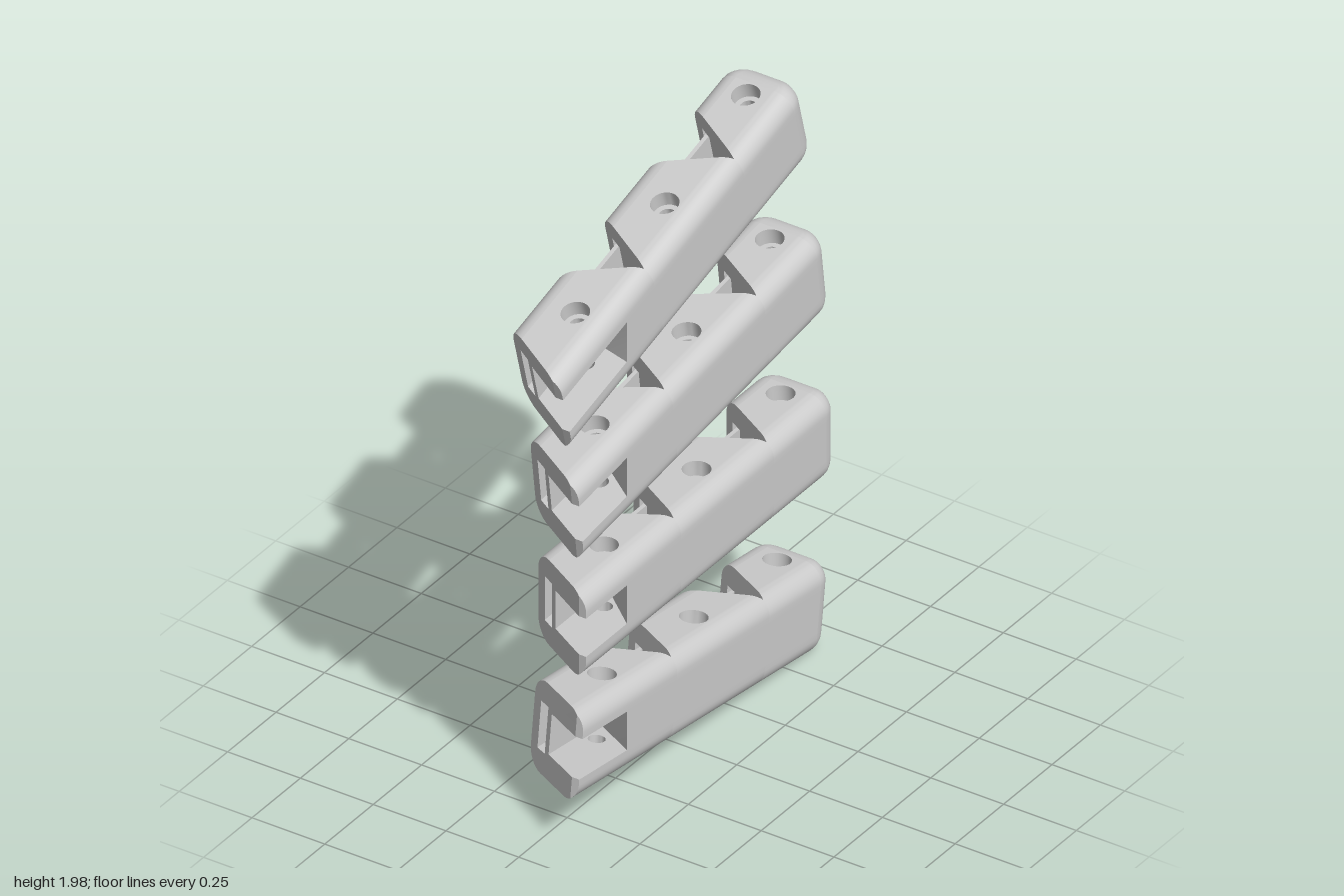
import * as THREE from 'three';
import { mergeGeometries, toCreasedNormals } from 'three/addons/utils/BufferGeometryUtils.js';

const W = 0.125, H = 0.145, R = 0.06;      // half width, half height, edge radius
const HINGE = 0.1, SLOPE = 0.577;          // where the notches end, and their slant
const WIN = 0.065, WIN_X = -0.03;          // half height and inner wall of the knuckle pocket
const material = new THREE.MeshStandardMaterial({ color: 0xcccccc, side: THREE.DoubleSide });

const arc = (cx, cy, a0, a1, n = 5) => Array.from({ length: n + 1 }, (_, i) => {
  const a = THREE.MathUtils.degToRad(a0 + (a1 - a0) * i / n);
  return [cx + R * Math.cos(a), cy + R * Math.sin(a)];
});
const mirrorY = pts => pts.map(([x, y]) => [x, -y]).reverse();

// Cross-section, clockwise seen from the front
const cornerIn = arc(W - R, H - R, 90, 54.3);
const cornerOut = arc(W - R, H - R, 54.3, 0);
const upperRight = [...cornerIn, ...cornerOut.slice(1), [W, WIN]];
const lowerRight = mirrorY(upperRight);
const left = [...arc(R - W, R - H, 270, 180, 8), ...arc(R - W, H - R, 180, 90, 8)];
const section = [...upperRight, ...lowerRight, ...left, upperRight[0]];
const rect = (x0, x1, h) => [[x0, h], [x1, h], [x1, -h], [x0, -h]];
const slot = rect(-0.09, -0.05, 0.075);

function flip(g) {
  const a = g.index.array;
  for (let i = 0; i < a.length; i += 3) [a[i], a[i + 1]] = [a[i + 1], a[i]];
  return g;
}

// Skin through rings of points
function grid(rings) {
  const n = rings[0].length, index = [];
  for (let k = 0; k < rings.length - 1; k++) {
    for (let i = 0; i < n - 1; i++) {
      const a = k * n + i, b = a + n;
      index.push(a, a + 1, b, a + 1, b + 1, b);
    }
  }
  const g = new THREE.BufferGeometry();
  g.setAttribute('position', new THREE.Float32BufferAttribute(rings.flat(2), 3));
  g.setIndex(index);
  return g;
}
const loft = (chain, f, g) => grid([f, g].map(fn => chain.map(([x, y]) => [x, y, fn(x, y)])));

const toShape = pts => new THREE.Shape(pts.map(p => new THREE.Vector2(...p)));

// End face lying on z = f(x, y)
function cap(pts, f, hole) {
  const s = toShape(pts);
  if (hole) s.holes.push(new THREE.Path(hole.map(p => new THREE.Vector2(...p))));
  const g = new THREE.ShapeGeometry(s), p = g.attributes.position;
  for (let i = 0; i < p.count; i++) p.setZ(i, f(p.getX(i), p.getY(i)));
  return g;
}

// Level face at height y, outlined in x and z, with a round hole
function plate(pts, y, hx, hz, r) {
  const s = toShape(pts.map(([x, z]) => [x, -z]));
  s.holes.push(new THREE.Path().absarc(hx, -hz, r, 0, Math.PI * 2));
  return new THREE.ShapeGeometry(s, 12).rotateX(-Math.PI / 2).translate(0, y, 0);
}

const bore = (x, z, r, y0, y1) =>
  flip(new THREE.CylinderGeometry(r, r, y1 - y0, 24, 1, true).translate(x, (y0 + y1) / 2, z));

function segment(name, { front, back, hx, hz, pocket, tip }) {
  const f = x => front - Math.max(0, HINGE - x) * SLOPE;
  const g = tip ? () => back : x => back + Math.max(0, HINGE - x) * SLOPE;
  const parts = [loft(upperRight, f, g), loft(lowerRight, f, g), loft(left, f, g)];

  // Right wall and slanted front face, opened by the pocket on the first segment
  parts.push(loft([[W, WIN], [W, -WIN]], pocket || f, g));
  const notch = pocket ? [[HINGE, WIN], [WIN_X, WIN], [WIN_X, -WIN], [HINGE, -WIN]] : [];
  parts.push(cap([...cornerIn, ...notch, ...mirrorY(cornerIn), ...left], f, slot));

  // Top and bottom faces with the pin hole
  const e = W - R, small = 0.026, big = 0.043, step = 0.095;
  const outline = [[-e, f(-e)], [e, f(e)], [e, g(e)], [-e, g(-e)]];
  parts.push(plate(outline, H, hx, hz, big), flip(plate(outline, -H, hx, hz, small)));
  parts.push(bore(hx, hz, big, step, H));
  parts.push(new THREE.RingGeometry(small, big, 24).rotateX(-Math.PI / 2).translate(hx, step, hz));

  if (pocket) {
    const upperLip = [...cornerOut, [W, WIN], [HINGE, WIN]];
    parts.push(cap(upperLip, f), cap(mirrorY(upperLip), f));
    parts.push(loft([[WIN_X, -WIN], [WIN_X, WIN]].reverse(), f, pocket));
    parts.push(cap(rect(WIN_X, W, WIN), pocket));
    for (const s of [1, -1]) {
      const y = s * WIN;
      const pts = [[WIN_X, pocket(WIN_X, y)], [WIN_X, f(WIN_X)], [HINGE, front], [W, front], [W, pocket(W, y)]];
      const p = plate(pts, y, hx, hz, small);
      parts.push(s > 0 ? flip(p) : p);
    }
    parts.push(bore(hx, hz, small, WIN, step), bore(hx, hz, small, -H, -WIN));
  } else {
    parts.push(bore(hx, hz, small, -H, step));
  }

  // Tendon slot, blind in the fingertip
  const slotEnd = tip ? () => -0.55 : g;
  parts.push(loft([...slot, slot[0]].reverse(), f, slotEnd));
  if (tip) {
    parts.push(cap(slot, slotEnd));
    // Rounded fingertip
    const ring = a => section.map(([x, y]) => [
      x * (1 - 0.085 * (1 - Math.cos(a)) / W),
      y * (1 - 0.07 * (1 - Math.cos(a)) / H),
      back - 0.08 * Math.sin(a)]);
    const rings = Array.from({ length: 9 }, (_, i) => ring(i / 8 * Math.PI / 2));
    parts.push(grid(rings));
    parts.push(flip(cap(rings[8].slice(0, -1).map(([x, y]) => [x, y]), () => back - 0.08)));
  } else {
    parts.push(flip(cap([...cornerIn, ...mirrorY(cornerIn), ...left], g, slot)));
  }

  const geometry = mergeGeometries(parts.map(p => {
    const c = toCreasedNormals(p, 0.6);
    c.deleteAttribute('uv');
    return c;
  }));
  const mesh = new THREE.Mesh(geometry, material);
  mesh.name = name;
  return mesh;
}

function finger(name, y, z, degrees) {
  const group = new THREE.Group(), t = THREE.MathUtils.degToRad(degrees);
  group.name = name;
  group.position.set(0, y, z);
  group.rotation.x = t;
  // Back wall of the pocket: upright at the outer side whatever the tilt
  const pocket = (x, py) => {
    const outer = (0.38 - z - py * Math.sin(t)) / Math.cos(t);
    return THREE.MathUtils.lerp(0.25, outer, (x - WIN_X) / (W - WIN_X));
  };
  group.add(
    segment('baseSegment', { front: 0.59, back: 0.1, hx: 0.02, hz: 0.34, pocket }),
    segment('middleSegment', { front: 0.1, back: -0.38, hx: 0.02, hz: -0.138 }),
    segment('tipSegment', { front: -0.38, back: -0.65, hx: 0, hz: -0.602, tip: true }));

  // Flat tendon running through the slots
  const tendon = new THREE.Mesh(new THREE.BoxGeometry(0.013, 0.13, 0.98), material);
  tendon.name = 'tendon';
  tendon.position.set(-0.068, 0, -0.05);
  group.add(tendon);
  return group;
}

export function createModel() {
  const model = new THREE.Group();
  model.name = 'jointedFingers';
  model.add(
    finger('lowestFinger', 0.246, 0.032, -7.5),
    finger('lowerMiddleFinger', 0.7225, 0, 0),
    finger('upperMiddleFinger', 1.202, 0.032, 7.5),
    finger('topFinger', 1.686, 0.122, 15));
  return model;
}
